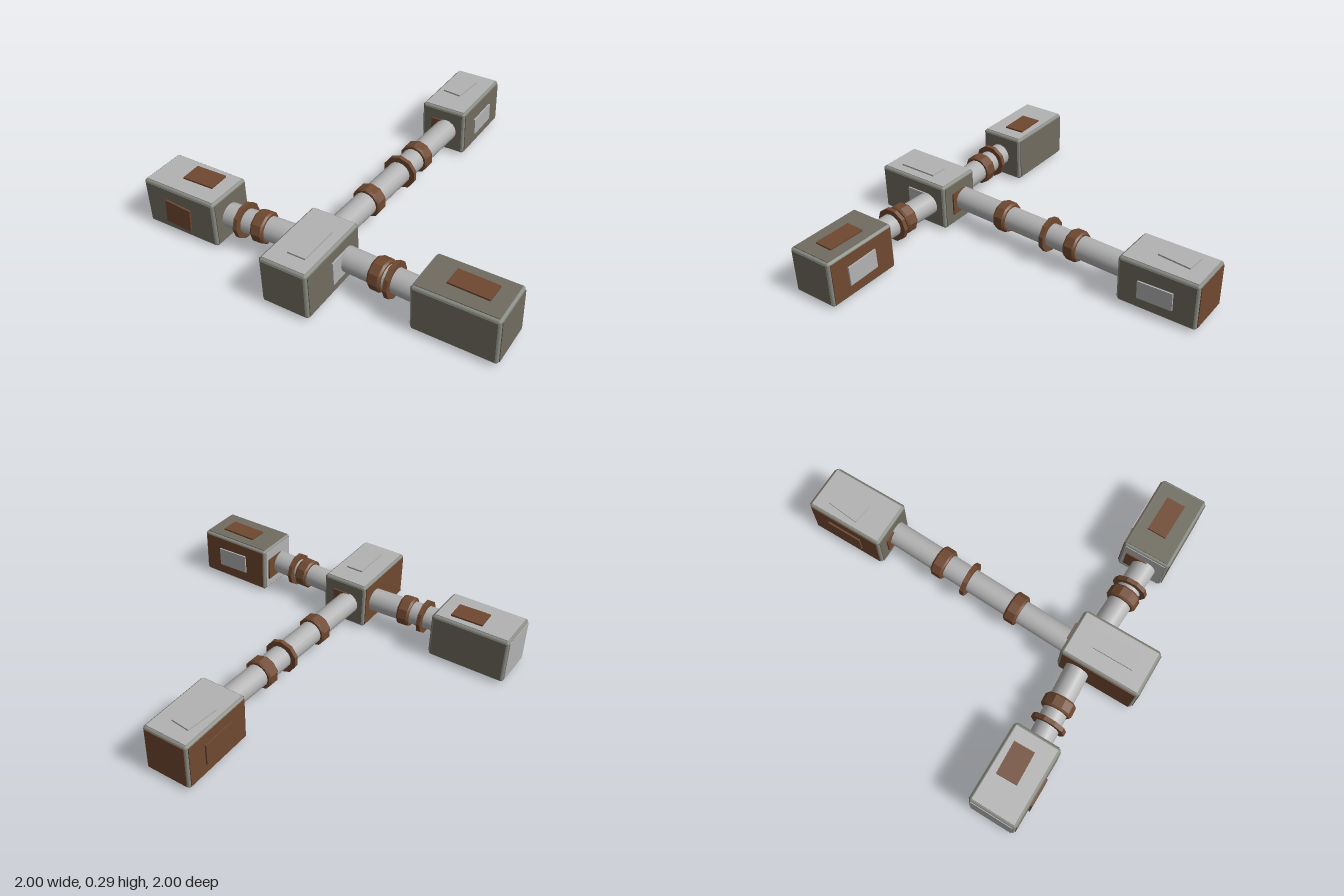
import * as THREE from 'three';
import { RoundedBoxGeometry } from 'three/addons/geometries/RoundedBoxGeometry.js';
import { toCreasedNormals } from 'three/addons/utils/BufferGeometryUtils.js';

const mat = (name, color) => {
  const m = new THREE.MeshStandardMaterial({ color });
  m.name = name;
  return m;
};

export function createModel() {
  const light = mat('lightMetal', 0xb2b2b2);
  const olive = mat('oliveMetal', 0x706c60);
  const rust = mat('rust', 0x6f4830);
  const trim = mat('edgeTrim', 0x8a8d85);
  const model = new THREE.Group();
  model.name = 'pipeAssembly';

  const add = (parent, name, geo, material) => {
    const m = new THREE.Mesh(geo, material);
    m.name = name;
    parent.add(m);
    return m;
  };

  const Q = Math.PI / 2;
  // face rotation, and which box axes are its width, height and depth
  const FACES = {
    front: [[0, 0, 0], [0, 1, 2]],
    back: [[0, 2 * Q, 0], [0, 1, 2]],
    left: [[0, Q, 0], [2, 1, 0]],
    right: [[0, -Q, 0], [2, 1, 0]],
    top: [[-Q, 0, 0], [0, 2, 1]],
    bottom: [[Q, 0, 0], [0, 2, 1]],
  };

  // Bevelled block with one coloured panel per face, plus thin patches
  function block(name, size, pos, colours, patches) {
    const g = new THREE.Group();
    g.name = name;
    g.position.set(...pos);
    model.add(g);
    const core = size.map((s) => s - 0.006);
    add(g, 'bevelledCore', new RoundedBoxGeometry(...core, 1, 0.016), trim);
    const sides = {};
    for (const [face, [rot, [a, b, d]]] of Object.entries(FACES)) {
      const side = new THREE.Group();
      side.name = face + 'Face';
      side.rotation.set(...rot);
      g.add(side);
      const panel = add(side, face + 'Panel',
        new THREE.BoxGeometry(size[a] - 0.034, size[b] - 0.034, 0.006), colours[face] ?? olive);
      panel.position.z = size[d] / 2 - 0.003;
      sides[face] = [side, size[d] / 2];
    }
    for (const [face, u, v, w, h, angle, colour] of patches) {
      const [side, depth] = sides[face];
      const p = add(side, face + 'Patch', new THREE.BoxGeometry(w, h, 0.009), colour);
      p.position.set(u, v, depth + 0.0055);
      p.rotation.z = angle;
    }
  }

  const Y = 0.145;
  const wide = [0.45, 0.27, 0.27], deep = [0.27, 0.27, 0.45];
  block('rightBlock', wide, [-0.775, Y, 0.675], { top: light, right: light }, [
    ['top', 0.045, 0.027, 0.18, 0.115, 0.03, rust],
    ['front', -0.008, -0.015, 0.155, 0.135, -0.08, rust],
    ['bottom', -0.045, 0, 0.2, 0.12, 0, rust],
  ]);
  block('leftBlock', wide, [0.775, Y, 0.675], { back: rust, right: light, bottom: rust }, [
    ['top', 0.022, 0.01, 0.215, 0.105, -0.02, rust],
    ['back', -0.01, 0, 0.19, 0.11, 0.03, light],
    ['right', -0.04, 0, 0.12, 0.13, 0, rust],
  ]);
  block('frontBlock', deep, [0, Y, 0.775], { top: light, right: rust }, [
    ['top', 0.018, -0.018, 0.1, 0.225, 0, light],
    ['bottom', 0.01, 0, 0.15, 0.2, 0, rust],
    ['left', 0.045, 0, 0.14, 0.13, 0, light],
    ['back', -0.015, 0, 0.1, 0.13, 0, rust],
  ]);
  block('backBlock', deep, [0, Y, -0.775], { top: light, back: rust, right: rust }, [
    ['top', -0.025, 0.033, 0.11, 0.185, -0.1, light],
    ['left', -0.005, -0.01, 0.195, 0.1, 0.02, light],
    ['right', 0, 0, 0.2, 0.12, 0, rust],
    ['front', -0.02, 0, 0.1, 0.12, 0, rust],
    ['bottom', 0, 0, 0.12, 0.18, 0, rust],
  ]);

  // Chamfered pipe collar, axis along y
  const collarProfile = [[0.06, -0.036], [0.078, -0.036], [0.086, -0.026],
    [0.086, 0.026], [0.078, 0.036], [0.06, 0.036]].map(([x, y]) => new THREE.Vector2(x, y));
  const collarGeo = toCreasedNormals(new THREE.LatheGeometry(collarProfile, 10), 0.5);
  const flangeGeo = toCreasedNormals(new THREE.CylinderGeometry(0.096, 0.096, 0.024, 10), 0.5);

  // Straight pipe between two points, with rings at distances from its middle
  function pipe(name, from, to, collars, flange) {
    const a = new THREE.Vector3(...from), b = new THREE.Vector3(...to);
    const dir = b.clone().sub(a), length = dir.length();
    const g = new THREE.Group();
    g.name = name;
    g.position.copy(a).add(b).multiplyScalar(0.5);
    g.quaternion.setFromUnitVectors(new THREE.Vector3(0, 1, 0), dir.normalize());
    model.add(g);
    add(g, 'pipeTube', new THREE.CylinderGeometry(0.065, 0.065, length, 16), light);
    for (const d of collars) add(g, 'collar', collarGeo, rust).position.y = d;
    // the flange stays square to the main axes
    const f = add(g, 'flange', flangeGeo, rust);
    f.position.y = flange;
    const axis = Math.abs(dir.z) > 0.9 ? new THREE.Vector3(0, 0, Math.sign(dir.z))
      : new THREE.Vector3(Math.sign(dir.x), 0, 0);
    f.quaternion.copy(g.quaternion).invert()
      .multiply(new THREE.Quaternion().setFromUnitVectors(new THREE.Vector3(0, 1, 0), axis));
  }

  pipe('longPipe', [0.02, Y, -0.57], [-0.025, Y, 0.57], [-0.235, 0.23], -0.065);
  pipe('rightPipe', [-0.57, Y, 0.688], [-0.11, Y, 0.665], [-0.005], -0.115);
  pipe('leftPipe', [0.11, Y, 0.668], [0.57, Y, 0.69], [-0.005], 0.065);

  return model;
}
